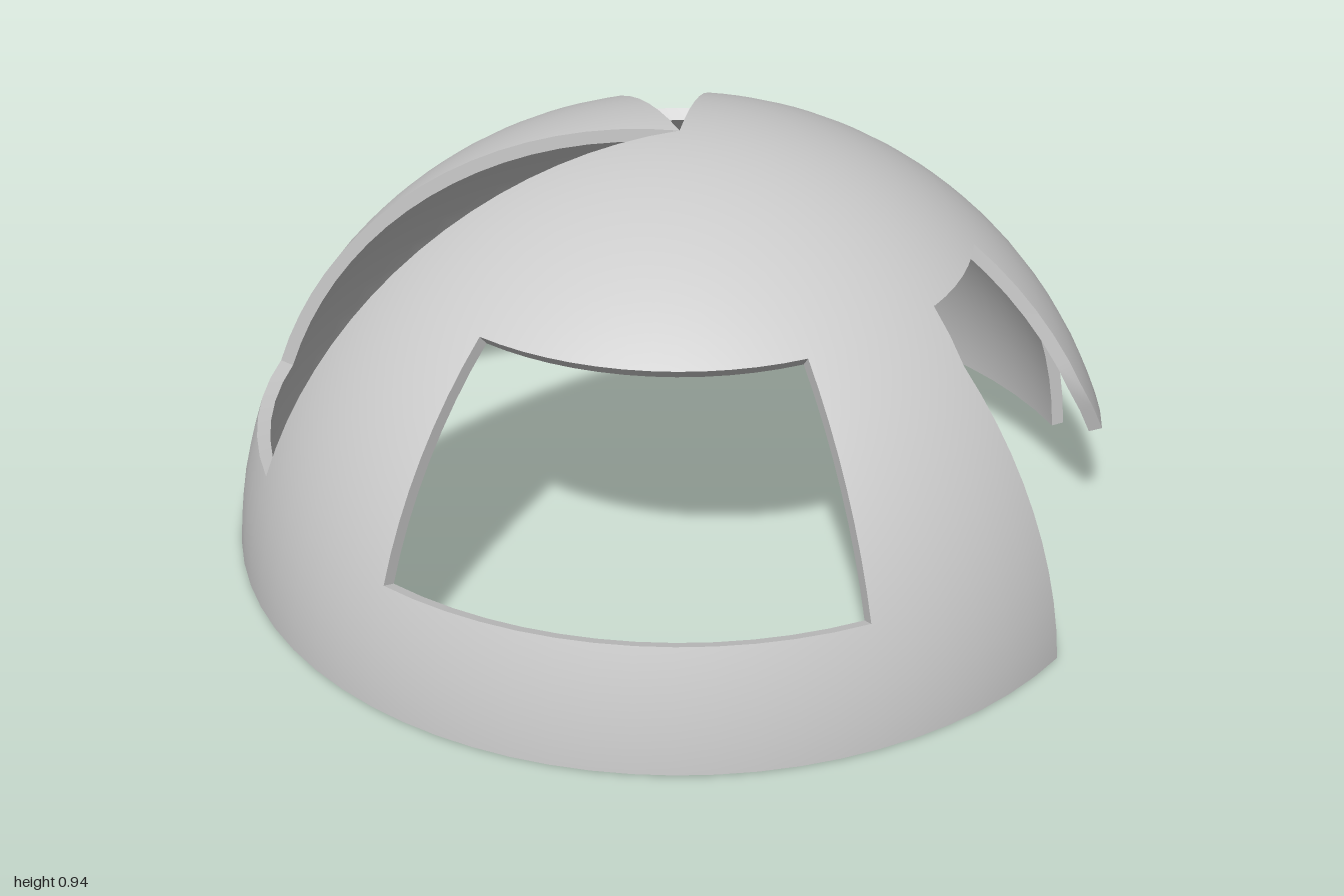
import * as THREE from 'three';
import { mergeGeometries } from 'three/addons/utils/BufferGeometryUtils.js';

const OUTER = 1, INNER = 0.97, CENTRE_Y = -0.06;
const RAD = Math.PI / 180;

// Latitude bands, in degrees down from the apex, and their subdivisions
const POLAR = [0, 39.6, 70.7, 86.5];
const ROWS = [10, 8, 4];

// Meridians between the wall sectors, in degrees from the front towards +x.
// A list of [polar, azimuth] pairs is a meridian with a slightly uneven edge.
const MERIDIANS = [
  0, 62.6,
  [[0, 94.1], [39.6, 94.1], [47.4, 91.2], [86.5, 91.7]],
  [[0, 121.7], [39.6, 121.7], [62.9, 119.7], [70.7, 122], [86.5, 122]],
  150.3, 180, 209.8, 238.6, 297.4, 328.8, 360,
];

// One string per band, one character per sector: # is wall, . is opening
const WALLS = [
  '######.#.#',
  '.#.##.##.#',
  '##..######',
];

function azimuth(k, polar) {
  const m = MERIDIANS[k];
  if (!Array.isArray(m)) return m;
  let i = 1;
  while (i < m.length - 1 && polar > m[i][0]) i++;
  const [p0, a0] = m[i - 1], [p1, a1] = m[i];
  return a0 + (a1 - a0) * (polar - p0) / (p1 - p0);
}

// Grid surface from a rule; u runs right and v runs down as seen from its front
function patch(nu, nv, rule, normalSign = 0) {
  const pos = [], index = [];
  for (let j = 0; j <= nv; j++) {
    for (let i = 0; i <= nu; i++) pos.push(...rule(i / nu, j / nv));
  }
  for (let j = 0; j < nv; j++) {
    for (let i = 0; i < nu; i++) {
      const a = j * (nu + 1) + i, b = a + nu + 1;
      index.push(a, b, b + 1, a, b + 1, a + 1);
    }
  }
  const g = new THREE.BufferGeometry();
  g.setAttribute('position', new THREE.Float32BufferAttribute(pos, 3));
  g.setIndex(index);
  g.computeVertexNormals();
  if (normalSign) {
    // exact spherical normals keep the joins between sectors invisible
    const n = g.attributes.normal, v = new THREE.Vector3();
    for (let i = 0; i < n.count; i++) {
      v.fromBufferAttribute(g.attributes.position, i);
      v.y -= CENTRE_Y;
      v.normalize().multiplyScalar(normalSign);
      n.setXYZ(i, v.x, v.y, v.z);
    }
  }
  return g;
}

export function createModel() {
  const group = new THREE.Group();
  group.name = 'dome';
  const skins = { outerShell: [], innerShell: [], cutEdges: [] };
  const sectors = MERIDIANS.length - 1;
  const solid = (b, s) => WALLS[b]?.[(s + sectors) % sectors] === '#';

  WALLS.forEach((_, b) => {
    for (let s = 0; s < sectors; s++) {
      if (!solid(b, s)) continue;

      const at = (u, v, r) => {
        const polar = POLAR[b] + (POLAR[b + 1] - POLAR[b]) * v;
        const a0 = azimuth(s, polar), a1 = azimuth(s + 1, polar);
        const a = (a0 + (a1 - a0) * u) * RAD, p = polar * RAD;
        return [
          r * Math.sin(p) * Math.sin(a),
          r * Math.cos(p) + CENTRE_Y,
          r * Math.sin(p) * Math.cos(a),
        ];
      };
      const inward = (t) => OUTER + (INNER - OUTER) * t;
      const nu = Math.round((azimuth(s + 1, 80) - azimuth(s, 80)) / 5);
      const nv = ROWS[b];

      // curved faces
      skins.outerShell.push(patch(nu, nv, (u, v) => at(u, v, OUTER), 1));
      skins.innerShell.push(patch(nu, nv, (u, v) => at(1 - u, v, INNER), -1));

      // thickness of the shell wherever a wall meets an opening or the base
      const edges = skins.cutEdges;
      if (!solid(b + 1, s)) edges.push(patch(nu, 1, (u, v) => at(u, 1, inward(v))));
      if (b > 0 && !solid(b - 1, s)) edges.push(patch(nu, 1, (u, v) => at(u, 0, inward(1 - v))));
      if (!solid(b, s - 1)) edges.push(patch(1, nv, (u, v) => at(0, v, inward(1 - u))));
      if (!solid(b, s + 1)) edges.push(patch(1, nv, (u, v) => at(1, v, inward(u))));
    }
  });

  const material = new THREE.MeshStandardMaterial({ color: 0xcccccc });
  for (const [name, parts] of Object.entries(skins)) {
    const mesh = new THREE.Mesh(mergeGeometries(parts), material);
    mesh.name = name;
    group.add(mesh);
  }
  return group;
}
